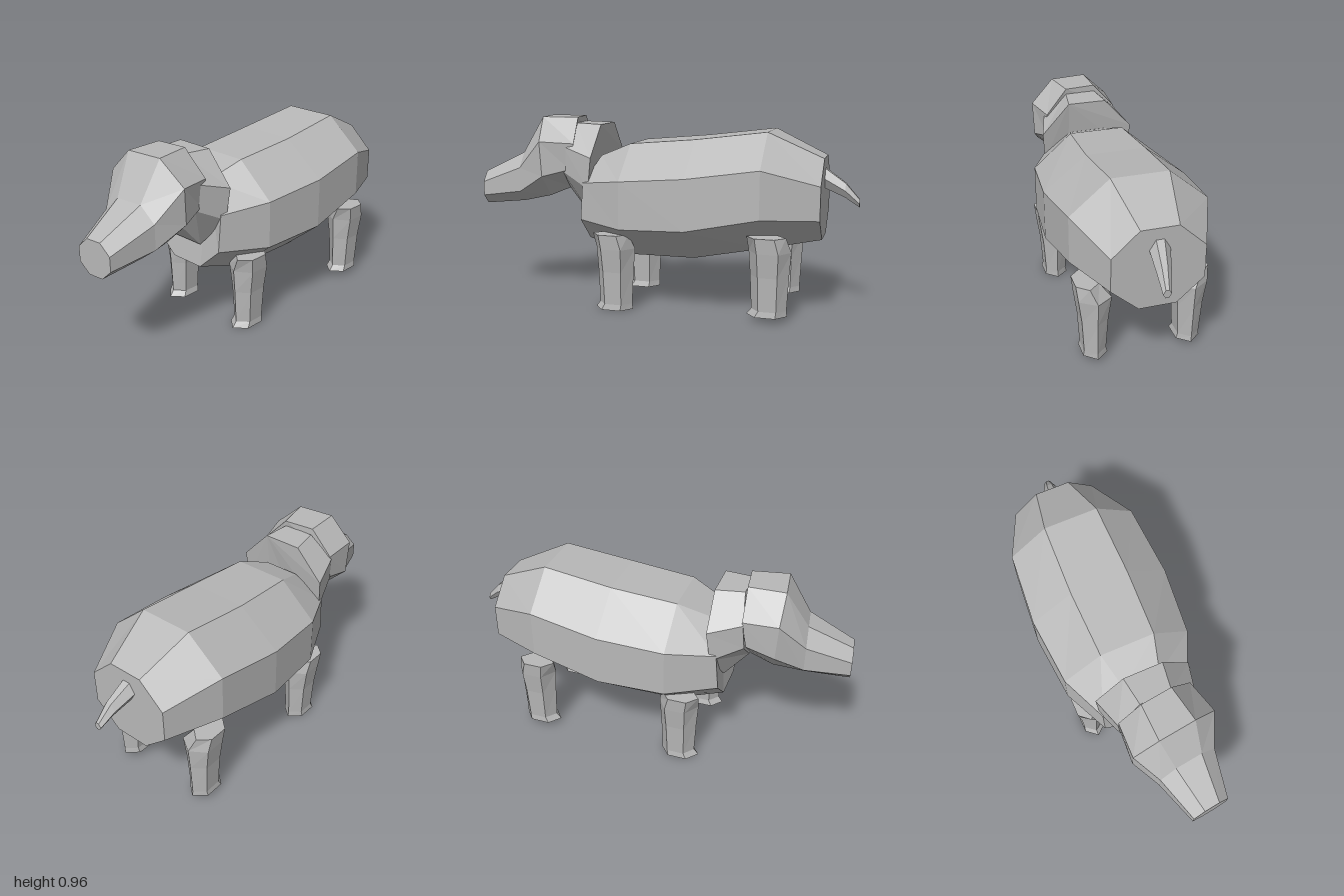
import * as THREE from 'three';

// Skin a list of rings (each a loop of [x, y, z]) and cap both ends; faceted normals
function loft(rings, material, name) {
  const pos = [];
  const tri = (a, b, c) => pos.push(...a, ...b, ...c);
  const n = rings[0].length;
  for (let r = 0; r < rings.length - 1; r++) {
    for (let i = 0; i < n; i++) {
      const j = (i + 1) % n;
      const a = rings[r][i], b = rings[r][j], c = rings[r + 1][j], d = rings[r + 1][i];
      tri(a, b, c);
      tri(a, c, d);
    }
  }
  const first = rings[0], last = rings[rings.length - 1];
  for (let i = 1; i < n - 1; i++) {
    tri(first[0], first[i + 1], first[i]);
    tri(last[0], last[i], last[i + 1]);
  }
  const geometry = new THREE.BufferGeometry();
  geometry.setAttribute('position', new THREE.Float32BufferAttribute(pos, 3));
  geometry.computeVertexNormals();
  const mesh = new THREE.Mesh(geometry, material);
  mesh.name = name;
  return mesh;
}

// Eight-sided ring: half widths, heights and depths for top, upper, lower and bottom pairs
function octagon(w, y, z, cx = 0, turn = 0) {
  const point = (side, k) => [cx + side * w[k], y[k], z[k] - side * w[k] * turn];
  return [
    point(1, 0), point(-1, 0), point(-1, 1), point(-1, 2),
    point(-1, 3), point(1, 3), point(1, 2), point(1, 1),
  ];
}
const flat = (z) => [z, z, z, z];

export function createModel() {
  const model = new THREE.Group();
  model.name = 'animal';
  const grey = new THREE.MeshStandardMaterial({ color: 0xb8b8b8 });
  grey.name = 'grey hide';

  // Barrel body, rump to chest
  model.add(loft([
    octagon([0.09, 0.22, 0.22, 0.09], [0.79, 0.67, 0.505, 0.39], flat(-0.83)),
    octagon([0.14, 0.335, 0.335, 0.14], [0.915, 0.75, 0.515, 0.34], flat(-0.56)),
    octagon([0.15, 0.365, 0.365, 0.15], [0.87, 0.7, 0.445, 0.27], flat(-0.2)),
    octagon([0.14, 0.335, 0.335, 0.14], [0.84, 0.67, 0.43, 0.265], flat(0.14)),
    octagon([0.095, 0.23, 0.226, 0.095], [0.77, 0.64, 0.45, 0.33], [0.315, 0.37, 0.385, 0.385]),
  ], grey, 'body'));

  // Neck rising from the chest
  model.add(loft([
    octagon([0.1, 0.245, 0.235, 0.095], [0.93, 0.77, 0.61, 0.45], [0.315, 0.32, 0.34, 0.38]),
    octagon([0.08, 0.2, 0.19, 0.08], [0.935, 0.82, 0.69, 0.59], [0.46, 0.485, 0.495, 0.5]),
  ], grey, 'neck'));

  // Head, turned slightly to its left, tapering to a blunt snout
  model.add(loft([
    octagon([0.08, 0.195, 0.19, 0.08], [0.965, 0.835, 0.7, 0.595], [0.46, 0.455, 0.48, 0.5], 0.0, 0.12),
    octagon([0.095, 0.22, 0.215, 0.095], [0.965, 0.845, 0.665, 0.55], [0.645, 0.63, 0.62, 0.61], 0.02, 0.12),
    octagon([0.07, 0.15, 0.15, 0.07], [0.775, 0.7, 0.575, 0.515], flat(0.76), 0.04, 0.12),
    octagon([0.04, 0.095, 0.095, 0.04], [0.665, 0.613, 0.54, 0.49], flat(0.985), 0.065, 0.12),
  ], grey, 'head'));

  // Tapering, drooping tail
  const tailRing = (cx, w, top, bottom, z) => [
    [cx + w * 0.4, top, z], [cx - w * 0.4, top, z], [cx - w, (top + bottom) / 2, z],
    [cx - w * 0.4, bottom, z], [cx + w * 0.4, bottom, z], [cx + w, (top + bottom) / 2, z],
  ];
  model.add(loft([
    tailRing(0.024, 0.02, 0.588, 0.55, -1),
    tailRing(0.014, 0.034, 0.665, 0.595, -0.93),
    tailRing(-0.003, 0.05, 0.74, 0.64, -0.82),
  ], grey, 'tail'));

  // Six-sided legs: ring rows are [height, centre x, centre z, half width, half depth]
  const legRows = [
    [0, 0.236, 0.2, 0.06, 0.1],
    [0.03, 0.238, 0.19, 0.054, 0.087],
    [0.2, 0.238, 0.19, 0.064, 0.095],
    [0.32, 0.238, 0.19, 0.08, 0.104],
    [0.395, 0.27, 0.205, 0.055, 0.095],
  ];
  const leg = (side, lift, shift, name) => loft(legRows.map(([y, x, z, w, d]) => {
    const ring = [];
    for (let i = 0; i < 6; i++) {
      const a = (i * Math.PI) / 3;
      ring.push([side * x + (Math.sin(a) / 0.866) * w, y + lift, z + shift + Math.cos(a) * d]);
    }
    return ring;
  }), grey, name);
  for (const [side, label] of [[1, 'Left'], [-1, 'Right']]) {
    model.add(leg(side, 0, 0, `front${label}Leg`));
    model.add(leg(side, 0.03, -0.79, `back${label}Leg`));
  }
  return model;
}
